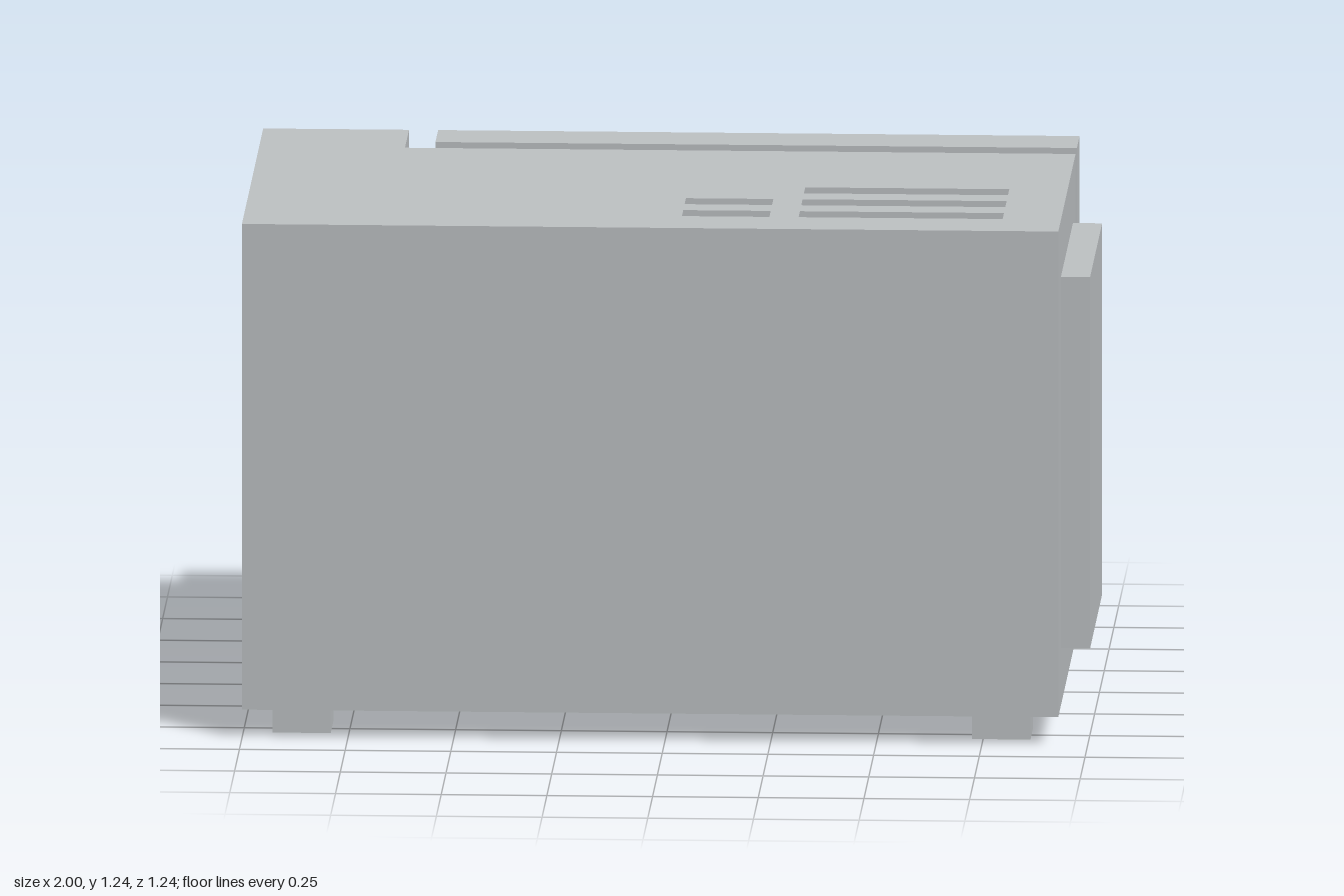
import * as THREE from 'three';

const U = 2 / 29; // grid unit: the model spans 29 x 18 x 18 units

const mat = (name, color) => {
  const m = new THREE.MeshStandardMaterial({ color });
  m.name = name;
  return m;
};

// Grid index to position (i along x from -1, k along z from the door side)
const X = (i) => -1 + i * U;
const Z = (k) => (k - 9) * U;

export function createModel() {
  const casing = mat('casing grey', 0xbfc3c5);
  const black = mat('black glass', 0x222222);
  const glass = mat('window grey', 0x828282);
  const blue = mat('display blue', 0x4a5ba6);

  const group = new THREE.Group();
  group.name = 'microwave';

  const add = (name, geometry, material) => {
    const mesh = new THREE.Mesh(geometry, material);
    mesh.name = name;
    group.add(mesh);
    return mesh;
  };

  // Box between grid corners
  const box = (name, [x0, x1], [y0, y1], [z0, z1], material = casing) => {
    const g = new THREE.BoxGeometry((x1 - x0) * U, (y1 - y0) * U, (z1 - z0) * U);
    g.translate(X((x0 + x1) / 2), ((y0 + y1) / 2) * U, Z((z0 + z1) / 2));
    return add(name, g, material);
  };

  // Thin painted plate on the door side (z index 2)
  const plate = (name, xs, ys, material, thick = 0.05) =>
    box(name, xs, ys, [2 - thick, 2], material);

  // Plan outline extruded upwards, with optional rectangular holes
  const points = (list) => list.map(([i, k]) => new THREE.Vector2(X(i), -Z(k)));
  const slab = (name, outline, holes, y0, y1) => {
    const shape = new THREE.Shape(points(outline));
    for (const [x0, x1, z0, z1] of holes) {
      shape.holes.push(new THREE.Path(points([[x0, z0], [x1, z0], [x1, z1], [x0, z1]])));
    }
    const g = new THREE.ExtrudeGeometry(shape, { depth: (y1 - y0) * U, bevelEnabled: false });
    g.rotateX(-Math.PI / 2);
    g.translate(0, y0 * U, 0);
    return add(name, g, casing);
  };

  // Casing with the control column, and its slotted top
  const plan = [[0, 18], [28, 18], [28, 5], [5, 5], [5, 2], [0, 2]];
  const slots = [
    [19, 26, 11, 12],
    [19, 26, 13, 14], [15, 18, 13, 14],
    [19, 26, 15, 16], [15, 18, 15, 16],
  ];
  slab('body', plan, [], 1, 17);
  slab('ventedTop', plan, slots, 17, 18);

  // Raised side cover
  box('sideCover', [28, 29], [3, 16], [7, 16]);

  // Door, its inner seal and the latch strip beside it
  box('door', [6, 28], [1, 18], [2, 4]);
  box('doorSeal', [5, 27], [2, 17], [4, 5]);
  box('latchStrip', [5, 6], [2, 17], [3, 4]);
  plate('windowFrame', [10, 26], [3, 16], black, 0.04);
  plate('window', [12, 24], [5, 14], glass, 0.08);

  // Handle
  box('handleBar', [7, 9], [2, 17], [0, 1]);
  for (const y of [2, 16]) box('handleBracket', [7, 9], [y, y + 1], [1, 2]);

  // Control panel
  plate('display', [1, 4], [13, 17], black);
  for (const x of [1, 3]) {
    for (const y of [9, 11]) box('button', [x, x + 1], [y, y + 1], [1, 2]);
  }
  box('dial', [1, 3], [6, 8], [1, 2]);
  plate('blueMarkUpright', [3, 4], [2, 4], blue);
  plate('blueMarkBase', [2, 3], [2, 3], blue);
  plate('blueMarkSquare', [1, 2], [3, 4], blue);

  // Feet
  for (const x of [1, 25]) {
    for (const z of [5, 15]) box('foot', [x, x + 2], [0, 1], [z, z + 2]);
  }

  return group;
}
